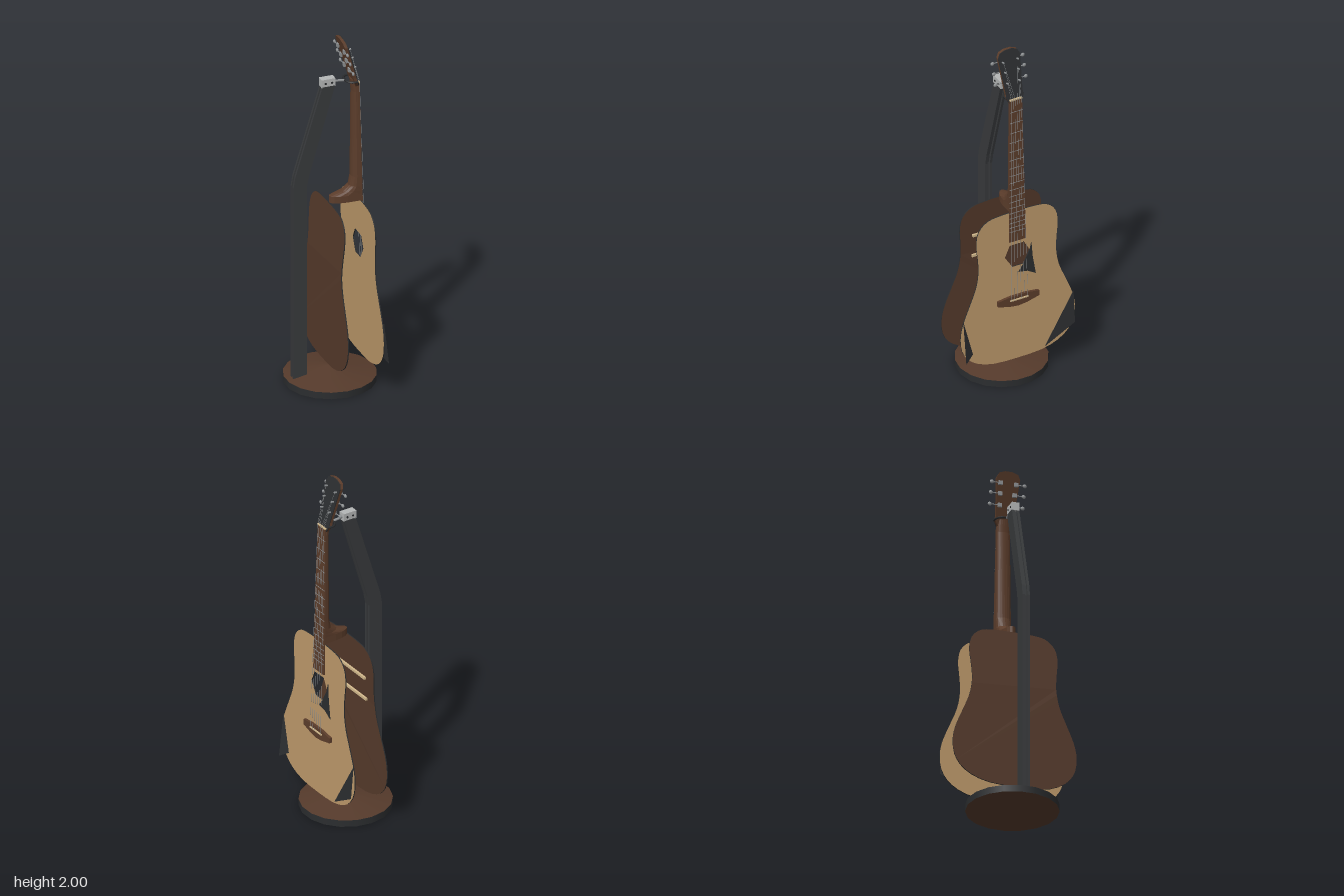
import * as THREE from 'three';

const mat = (name, color, side = THREE.FrontSide) => {
  const m = new THREE.MeshStandardMaterial({ color, side });
  m.name = name;
  return m;
};

export function createModel() {
  const root = new THREE.Group();
  const spruce = mat('light spruce', 0xbd996a);
  const darkWood = mat('dark brown wood', 0x553a2b);
  const neckWood = mat('neck wood', 0x5c3d2b);
  const black = mat('charcoal', 0x2b2d2f, THREE.DoubleSide);
  const post = mat('stand grey', 0x383a3c);
  const metal = mat('metal', 0x8d9092);
  const clampGrey = mat('clamp grey', 0xb4b6b6);
  const cream = mat('cream', 0xd2b98c);

  const add = (name, geo, material, parent = root) => {
    const m = new THREE.Mesh(geo, material);
    m.name = name;
    parent.add(m);
    return m;
  };
  const box = (name, w, h, d, x, y, z, material, parent) => {
    const m = add(name, new THREE.BoxGeometry(w, h, d), material, parent);
    m.position.set(x, y, z);
    return m;
  };
  const rod = (name, a, b, r, material, parent, sides = 5) => {
    const p = new THREE.Vector3(...a), q = new THREE.Vector3(...b);
    const m = add(name, new THREE.CylinderGeometry(r, r, p.distanceTo(q), sides), material, parent);
    m.position.copy(p).lerp(q, 0.5);
    m.quaternion.setFromUnitVectors(new THREE.Vector3(0, 1, 0), q.sub(p).normalize());
    return m;
  };
  // Board facing +x, outlined in (-z, y), whose back surface follows x = bend(y)
  const board = (name, shape, depth, bend, material, parent) => {
    const g = new THREE.ExtrudeGeometry(shape, { depth, bevelEnabled: false, curveSegments: 8 });
    g.rotateY(Math.PI / 2);
    const p = g.attributes.position;
    for (let i = 0; i < p.count; i++) p.setX(i, p.getX(i) + bend(p.getY(i)));
    g.computeVertexNormals();
    return add(name, g, material, parent);
  };
  const poly = pts => new THREE.Shape(pts.map(p => new THREE.Vector2(...p)));
  const mirrored = half => poly([...half, ...half.map(([u, v]) => [-u, v]).reverse()]);

  // Stand: round base, shallow cone and bent channel post
  const stand = new THREE.Group();
  stand.name = 'stand';
  root.add(stand);
  const rim = add('baseRim', new THREE.CylinderGeometry(0.25, 0.25, 0.038, 18), [black, darkWood, darkWood], stand);
  rim.position.y = 0.021;
  const cone = add('baseTop', new THREE.ConeGeometry(0.25, 0.045, 18), darkWood, stand);
  cone.position.y = 0.0625;
  const postStrip = (name, inset, width, z) => {
    const g = new THREE.ExtrudeGeometry(poly([
      [-0.215 + inset, 0.03], [-0.137 - inset, 0.03], [-0.137 - inset, 1.17],
      [-0.125 - inset, 1.23], [0.022 - inset, 1.735], [-0.05 + inset, 1.735],
      [-0.205 + inset, 1.23], [-0.215 + inset, 1.17]]), { depth: width, bevelEnabled: false });
    g.translate(0, 0, z - width / 2);
    add(name, g, post, stand);
  };
  for (const s of [-1, 1]) postStrip('postSide', 0, 0.014, s * 0.014);
  postStrip('postWeb', 0.012, 0.016, 0);

  // Clamp with bolts and a forked neck holder
  box('clamp', 0.078, 0.046, 0.042, -0.015, 1.754, 0, clampGrey, stand);
  for (const s of [-1, 1]) for (const x of [-0.032, 0.004])
    rod('clampBolt', [x, 1.754, s * 0.02], [x, 1.754, s * 0.024], 0.006, black, stand, 8);
  rod('holderArm', [0.02, 1.752, 0], [0.085, 1.745, 0], 0.007, metal, stand, 8);
  const fork = new THREE.CatmullRomCurve3([[0.14, -0.052], [0.11, -0.05], [0.088, -0.03], [0.084, 0],
    [0.088, 0.03], [0.11, 0.05], [0.14, 0.052]].map(([x, z]) => new THREE.Vector3(x, 1.747, z)));
  add('neckHolder', new THREE.TubeGeometry(fork, 18, 0.006, 6), black, stand);

  // Guitar body: separate soundboard and back, open at the sides
  const guitar = new THREE.Group();
  guitar.name = 'guitar';
  root.add(guitar);
  const bodyShape = () => {
    const half = [[0, 1.04], [0.1, 1.038], [0.18, 1.025], [0.23, 0.98], [0.247, 0.91], [0.238, 0.8],
      [0.236, 0.72], [0.252, 0.63], [0.292, 0.53], [0.332, 0.43], [0.347, 0.35], [0.335, 0.26],
      [0.285, 0.19], [0.18, 0.14], [0, 0.127]];
    const all = [...half, ...half.slice(1, -1).map(([u, v]) => [-u, v]).reverse()];
    const curve = new THREE.CatmullRomCurve3(all.map(([u, v]) => new THREE.Vector3(u, v, 0)), true);
    return poly(curve.getPoints(72).slice(0, -1).map(p => [p.x, p.y]));
  };
  const topX = y => 0.157 + (1.04 - y) * 0.014;
  const backX = y => (y > 0.7 ? -0.032 + (y - 0.7) * 0.07 : -0.04 + (y - 0.13) * 0.014);
  const topShape = bodyShape();
  topShape.holes.push(new THREE.Path([[-0.075, 0.77], [-0.045, 0.835], [0.04, 0.838], [0.075, 0.775],
    [0.04, 0.7], [-0.03, 0.7]].map(p => new THREE.Vector2(...p))));
  board('soundboard', topShape, 0.006, topX, [spruce, black], guitar);
  board('bodyBack', bodyShape(), 0.006, backX, [darkWood, black], guitar);
  for (const y of [0.84, 0.71]) box('backBrace', 0.014, 0.014, 0.34, backX(y) + 0.011, y, 0, cream, guitar);

  // Pickguard and remaining pieces of the dark side binding
  board('pickguard', poly([[0.085, 0.82], [0.092, 0.73], [0.11, 0.62], [0.06, 0.65], [0.005, 0.66],
    [0.035, 0.7], [0.072, 0.77]]), 0.003, y => topX(y) + 0.0065, black, guitar);
  const shard = pts => {
    const g = new THREE.BufferGeometry();
    g.setAttribute('position', new THREE.Float32BufferAttribute(pts, 3));
    g.computeVertexNormals();
    add('sideBinding', g, black, guitar);
  };
  shard([0.174, 0.455, 0.332, 0.204, 0.2, 0.33, 0.178, 0.235, 0.275]);
  shard([0.174, 0.44, -0.338, 0.178, 0.145, -0.16, 0.19, 0.25, -0.338]);

  // Bridge and saddle
  board('bridge', mirrored([[0.05, 0.525], [0.125, 0.515], [0.125, 0.485], [0.05, 0.466], [0, 0.46]]), 0.016,
    y => topX(y) + 0.005, neckWood, guitar);
  box('saddle', 0.008, 0.007, 0.11, 0.188, 0.503, 0, cream, guitar);

  // Neck and heel: half-round sections lofted upward [y, front x, back x, half width]
  const sections = [[1.04, 0.16, -0.005, 0.042], [1.078, 0.16, -0.005, 0.042], [1.098, 0.159, 0.065, 0.043],
    [1.125, 0.158, 0.105, 0.044], [1.18, 0.157, 0.117, 0.044], [1.68, 0.146, 0.122, 0.037], [1.75, 0.138, 0.115, 0.036]];
  const n = 10, pos = [], idx = [];
  for (const [y, f, b, w] of sections)
    for (let i = 0; i <= n; i++) {
      const a = Math.PI * i / n;
      pos.push(f - (f - b) * Math.pow(Math.sin(a), 0.7), y, -w * Math.cos(a));
    }
  const row = n + 1;
  for (let s = 0; s < sections.length - 1; s++)
    for (let i = 0; i < row; i++) {
      const a = s * row + i, b = s * row + (i + 1) % row;
      idx.push(a, b, a + row, b, b + row, a + row);
    }
  const last = (sections.length - 1) * row;
  for (let i = 1; i < n; i++) idx.push(0, i + 1, i, last, last + i, last + i + 1);
  let neck = new THREE.BufferGeometry();
  neck.setAttribute('position', new THREE.Float32BufferAttribute(pos, 3));
  neck.setIndex(idx);
  neck = neck.toNonIndexed();
  neck.computeVertexNormals();
  add('neck', neck, mat('neck wood two sided', 0x5c3d2b, THREE.DoubleSide), guitar);

  // Fretboard, frets and nut
  const fretX = y => 0.145 + (1.73 - y) * 0.022;
  board('fretboard', mirrored([[0.037, 1.73], [0.05, 0.86]]), 0.009, fretX, neckWood, guitar);
  for (let i = 1; i <= 18; i++) {
    const y = 0.48 + 1.25 * Math.pow(2, -i / 12);
    box('fret', 0.002, 0.003, 2 * (0.037 + (1.73 - y) * 0.015), fretX(y) + 0.009, y, 0, metal, guitar);
  }
  box('nut', 0.012, 0.008, 0.074, 0.15, 1.734, 0, cream, guitar);

  // Tilted headstock with dark face
  const headX = y => 0.124 + (1.74 - y) * 0.285;
  const headHalf = [[0.036, 1.715], [0.052, 1.745], [0.05, 1.77], [0.066, 1.965], [0.052, 1.99], [0.02, 2]];
  board('headstock', mirrored(headHalf), 0.016, headX, neckWood, guitar);
  board('headstockFace', mirrored(headHalf), 0.005, y => headX(y) + 0.016, black, guitar);

  // Tuning machines and strings, mirrored in pairs
  const pegY = [1.82, 1.88, 1.935];
  for (const s of [-1, 1]) pegY.forEach((y, i) => {
    const x = headX(y), z = s * (0.036 + i * 0.004), edge = s * 0.092;
    rod('tunerPost', [x - 0.006, y, z], [x + 0.034, y + 0.011, z], 0.005, metal, guitar, 8);
    box('tunerGear', 0.012, 0.022, 0.022, x - 0.005, y, z, metal, guitar);
    rod('tunerShaft', [x - 0.005, y, z], [x - 0.005, y, edge], 0.003, metal, guitar);
    const knob = add('tunerButton', new THREE.SphereGeometry(0.012, 8, 6), metal, guitar);
    knob.scale.set(0.6, 0.9, 1);
    knob.position.set(x - 0.005, y, edge);
    const lane = 3 - i - 0.5;
    const nut = [0.157, 1.738, s * lane * 0.012];
    rod('string', [0.192, 0.503, s * lane * 0.02], nut, 0.001, metal, guitar, 4);
    rod('headString', nut, [x + 0.03, y + 0.009, z], 0.001, metal, guitar, 4);
  });
  return root;
}
